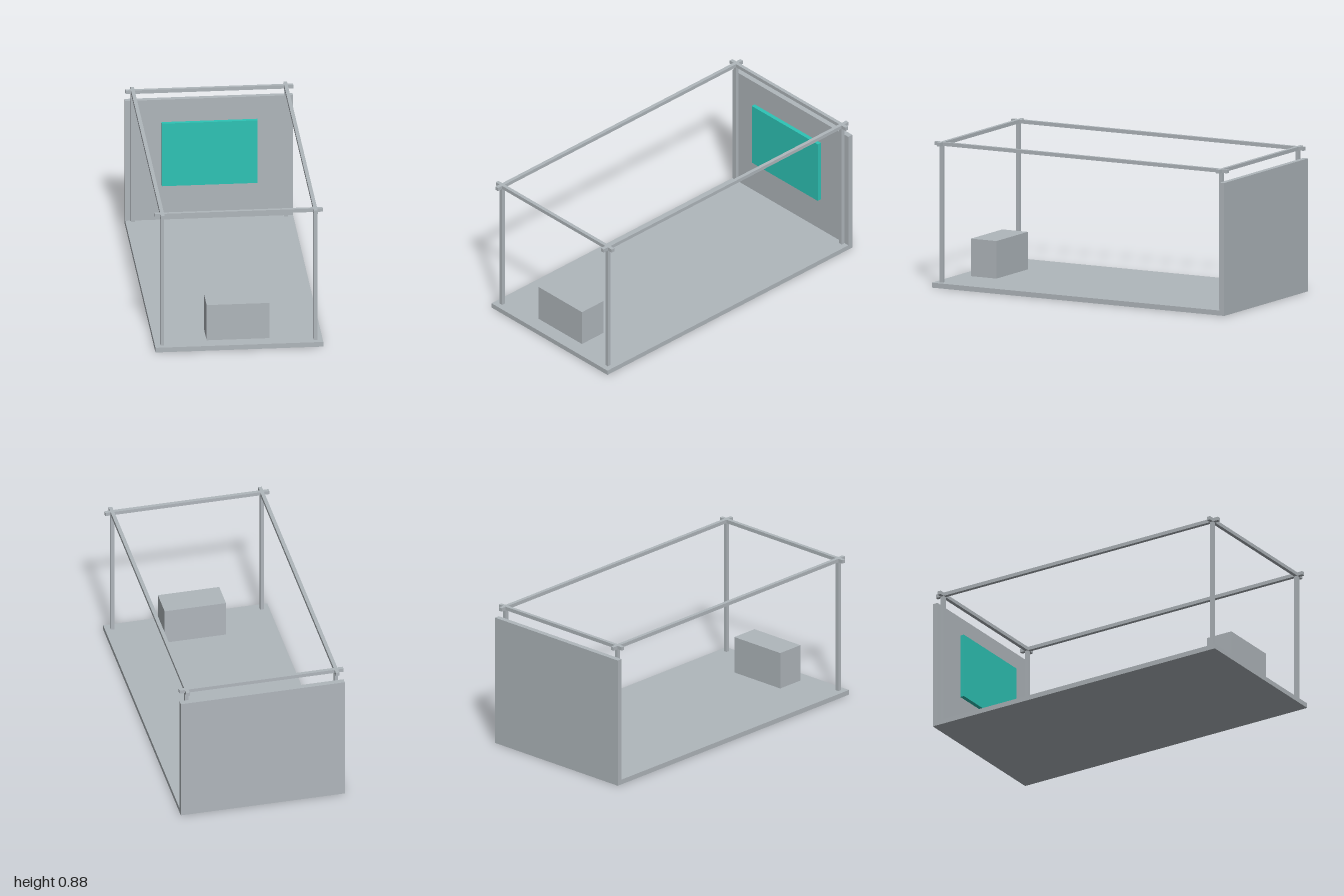
import * as THREE from 'three';

export function createModel() {
  const group = new THREE.Group();
  const grey = new THREE.MeshStandardMaterial({ color: 0xb0b7bc });
  grey.name = 'lightGrey';
  const teal = new THREE.MeshStandardMaterial({ color: 0x2ec4b6 });
  teal.name = 'teal';

  // Box given by its lower and upper limits on each axis
  const addBox = (name, material, [x0, x1], [y0, y1], [z0, z1]) => {
    const mesh = new THREE.Mesh(new THREE.BoxGeometry(x1 - x0, y1 - y0, z1 - z0), material);
    mesh.position.set((x0 + x1) / 2, (y0 + y1) / 2, (z0 + z1) / 2);
    mesh.name = name;
    group.add(mesh);
  };
  const around = (centre, size) => [centre - size / 2, centre + size / 2];

  const floorTop = 0.03, frameTop = 0.875, bar = 0.022;
  const postX = 0.456, postZ = 0.955;

  // Platform and back wall
  addBox('floor', grey, [-0.5, 0.5], [0, floorTop], [-1, 1]);
  addBox('backWall', grey, [-0.5, 0.5], [0, 0.8], [-1, -0.967]);

  // Open frame: corner posts with crossing beams that overhang to the edges
  const beamY = [frameTop - bar, frameTop];
  for (const sx of [-1, 1]) {
    const side = sx > 0 ? 'left' : 'right';
    addBox(`${side}Beam`, grey, around(sx * postX, bar), beamY, [-1, 1]);
    for (const sz of [-1, 1]) {
      addBox(`${side}${sz > 0 ? 'Front' : 'Back'}Post`, grey,
        around(sx * postX, bar), [floorTop, frameTop - bar], around(sz * postZ, bar));
    }
  }
  for (const sz of [-1, 1]) {
    addBox(sz > 0 ? 'frontBeam' : 'backBeam', grey, [-0.5, 0.5], beamY, around(sz * postZ, bar));
  }

  // Screen in front of the wall and counter near the front edge
  addBox('screen', teal, [-0.285, 0.285], [0.263, 0.665], [-0.946, -0.921]);
  addBox('counter', grey, [-0.187, 0.187], [floorTop, 0.256], [0.738, 0.912]);

  return group;
}
